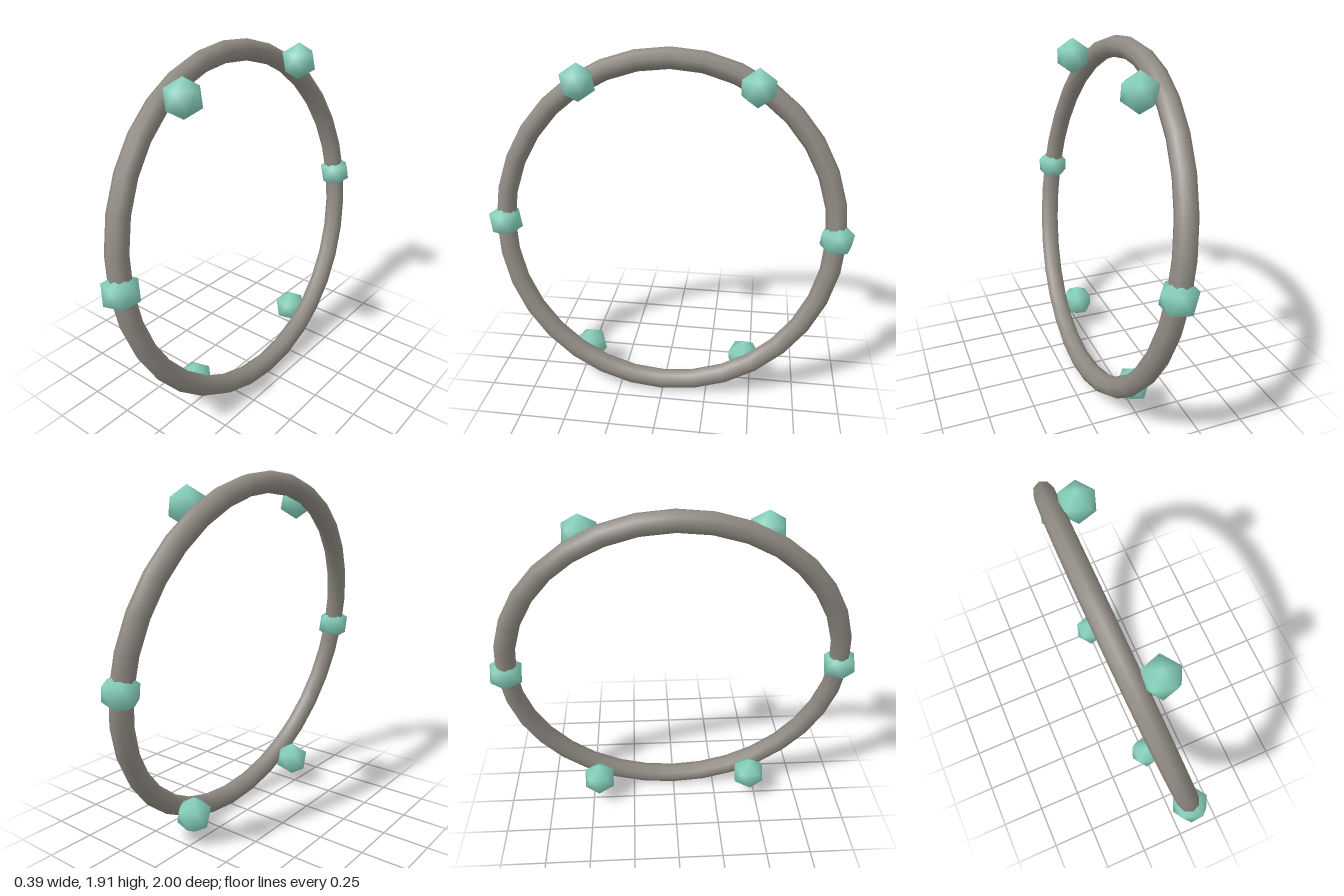
import * as THREE from 'three';

// Smooth-shaded icosahedron standing on a vertex, one upper corner towards +x
function beadGeometry(r) {
  const pos = [0, r, 0];
  const index = [];
  const h = r / Math.sqrt(5), ring = 2 * h;
  for (let k = 0; k < 2; k++) {
    for (let i = 0; i < 5; i++) {
      const a = (i + k / 2) * Math.PI * 2 / 5;
      pos.push(ring * Math.cos(a), k ? -h : h, ring * Math.sin(a));
    }
  }
  pos.push(0, -r, 0);
  for (let i = 0; i < 5; i++) {
    const j = (i + 1) % 5;
    const u0 = 1 + i, u1 = 1 + j, l0 = 6 + i, l1 = 6 + j;
    index.push(0, u1, u0, u0, u1, l0, u1, l1, l0, 11, l0, l1);
  }
  const g = new THREE.BufferGeometry();
  g.setAttribute('position', new THREE.Float32BufferAttribute(pos, 3));
  g.setIndex(index);
  g.computeVertexNormals();
  return g;
}

export function createModel() {
  const model = new THREE.Group();
  model.name = 'beadedRing';
  const stone = new THREE.MeshStandardMaterial({ name: 'warmGrey', color: 0x8f8a82 });
  const teal = new THREE.MeshStandardMaterial({ name: 'paleTeal', color: 0x86d0bc });
  const centreY = 0.96;

  // Upright ring facing sideways, leaning towards -x at the top
  const ringGeometry = new THREE.TorusGeometry(0.912, 0.056, 8, 32);
  ringGeometry.rotateY(Math.PI / 2);
  const ring = new THREE.Mesh(ringGeometry, stone);
  ring.name = 'ring';
  ring.position.y = centreY;
  ring.rotation.z = 0.155;
  model.add(ring);

  // Six beads on an untilted circle
  const bead = beadGeometry(0.1);
  for (let i = 0; i < 6; i++) {
    const a = i * Math.PI / 3;
    const mesh = new THREE.Mesh(bead, teal);
    mesh.name = `bead${i + 1}`;
    mesh.position.set(0, centreY + 0.915 * Math.sin(a), 0.915 * Math.cos(a));
    model.add(mesh);
  }
  return model;
}
